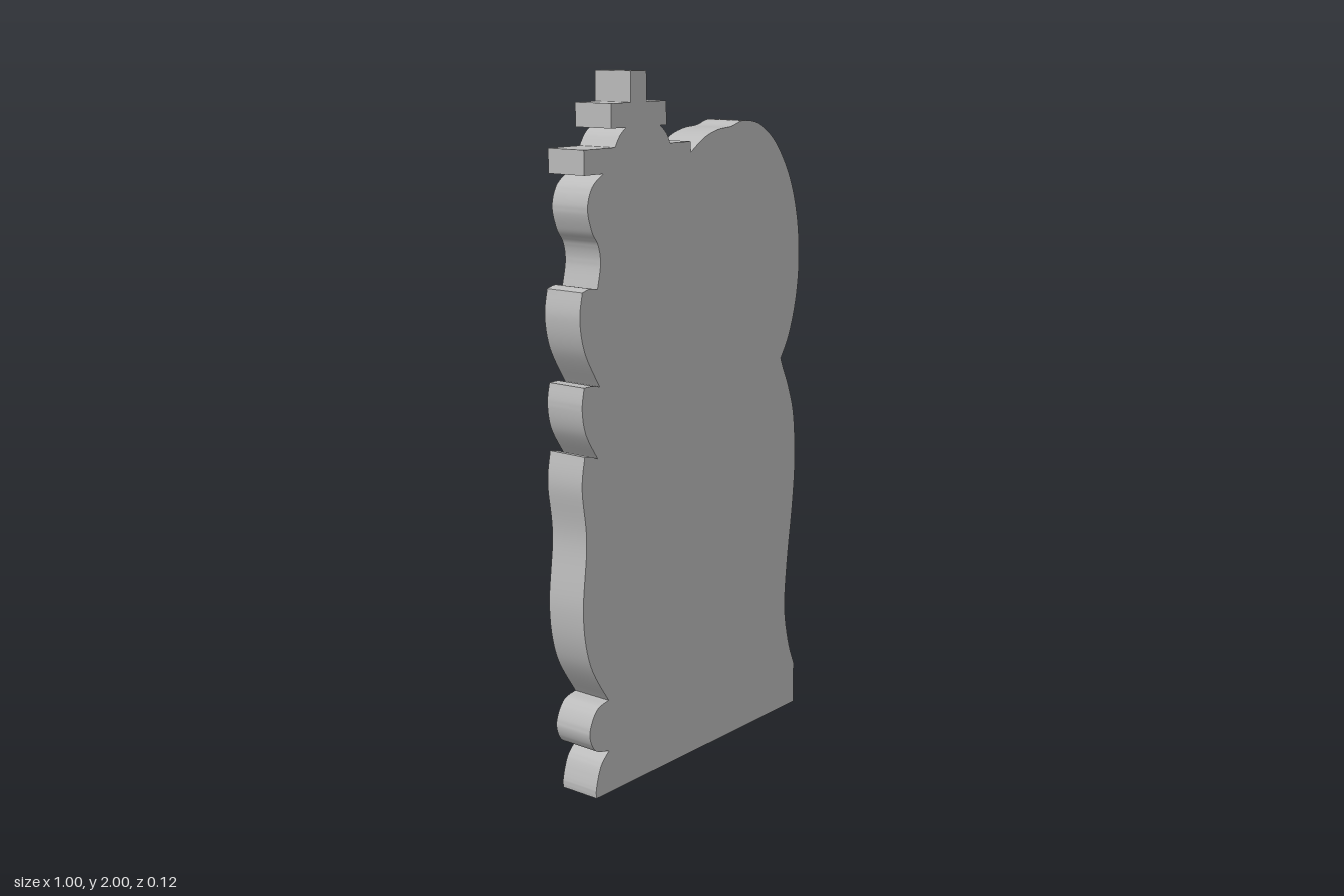
import * as THREE from 'three';
import { toCreasedNormals } from 'three/addons/utils/BufferGeometryUtils.js';

const DEPTH = 0.125;

export function createModel() {
  const group = new THREE.Group();
  group.name = 'carvedSlab';
  const stone = new THREE.MeshStandardMaterial({ color: 0xbbbbbb });
  stone.name = 'grey stone';

  const shape = new THREE.Shape();
  const lines = (...pts) => pts.forEach(([x, y]) => shape.lineTo(x, y));
  const curve = (...pts) => shape.splineThru(pts.map(([x, y]) => new THREE.Vector2(x, y)));

  // Flat base and short upright foot
  shape.moveTo(-0.455, 0);
  lines([0.498, 0], [0.498, 0.13]);

  // Waved right edge, up to the notch
  curve([0.467, 0.21], [0.445, 0.33], [0.455, 0.48], [0.479, 0.66], [0.489, 0.8],
    [0.479, 0.94], [0.452, 1.03], [0.42, 1.1], [0.408, 1.13]);

  // Large rounded shoulder
  curve([0.45, 1.2], [0.484, 1.31], [0.496, 1.43], [0.482, 1.56], [0.44, 1.68],
    [0.37, 1.78], [0.29, 1.835], [0.21, 1.85], [0.15, 1.836], [0.09, 1.83],
    [0.03, 1.812], [-0.035, 1.773]);

  // Stepped cross on curved supports
  lines([-0.035, 1.803], [-0.125, 1.803]);
  curve([-0.14, 1.83], [-0.167, 1.853]);
  lines([-0.141, 1.853], [-0.141, 1.918], [-0.225, 1.918], [-0.225, 2], [-0.29, 2],
    [-0.29, 1.918], [-0.37, 1.918], [-0.37, 1.853], [-0.31, 1.853]);
  curve([-0.335, 1.833], [-0.355, 1.803]);
  lines([-0.478, 1.803], [-0.478, 1.737], [-0.403, 1.737]);

  // Scalloped left edge, top to bottom
  curve([-0.447, 1.705], [-0.466, 1.65], [-0.45, 1.59], [-0.425, 1.55], [-0.417, 1.5], [-0.43, 1.435]);
  curve([-0.46, 1.44], [-0.49, 1.433]);
  curve([-0.501, 1.36], [-0.482, 1.27], [-0.425, 1.172]);
  curve([-0.455, 1.178], [-0.487, 1.178]);
  curve([-0.496, 1.12], [-0.482, 1.05], [-0.435, 0.975]);
  curve([-0.46, 0.985], [-0.488, 0.99]);
  curve([-0.5, 0.9], [-0.484, 0.75], [-0.501, 0.55], [-0.475, 0.4], [-0.4, 0.275]);
  curve([-0.45, 0.26], [-0.48, 0.2], [-0.458, 0.144], [-0.4, 0.125]);
  curve([-0.435, 0.09], [-0.455, 0.03], [-0.455, 0]);

  // Solid slab of even thickness
  const extruded = new THREE.ExtrudeGeometry(shape, { depth: DEPTH, bevelEnabled: false, curveSegments: 6 });
  extruded.translate(0, 0, -DEPTH / 2);
  const slab = new THREE.Mesh(toCreasedNormals(extruded, 0.5), stone);
  slab.name = 'slab';
  group.add(slab);
  return group;
}
